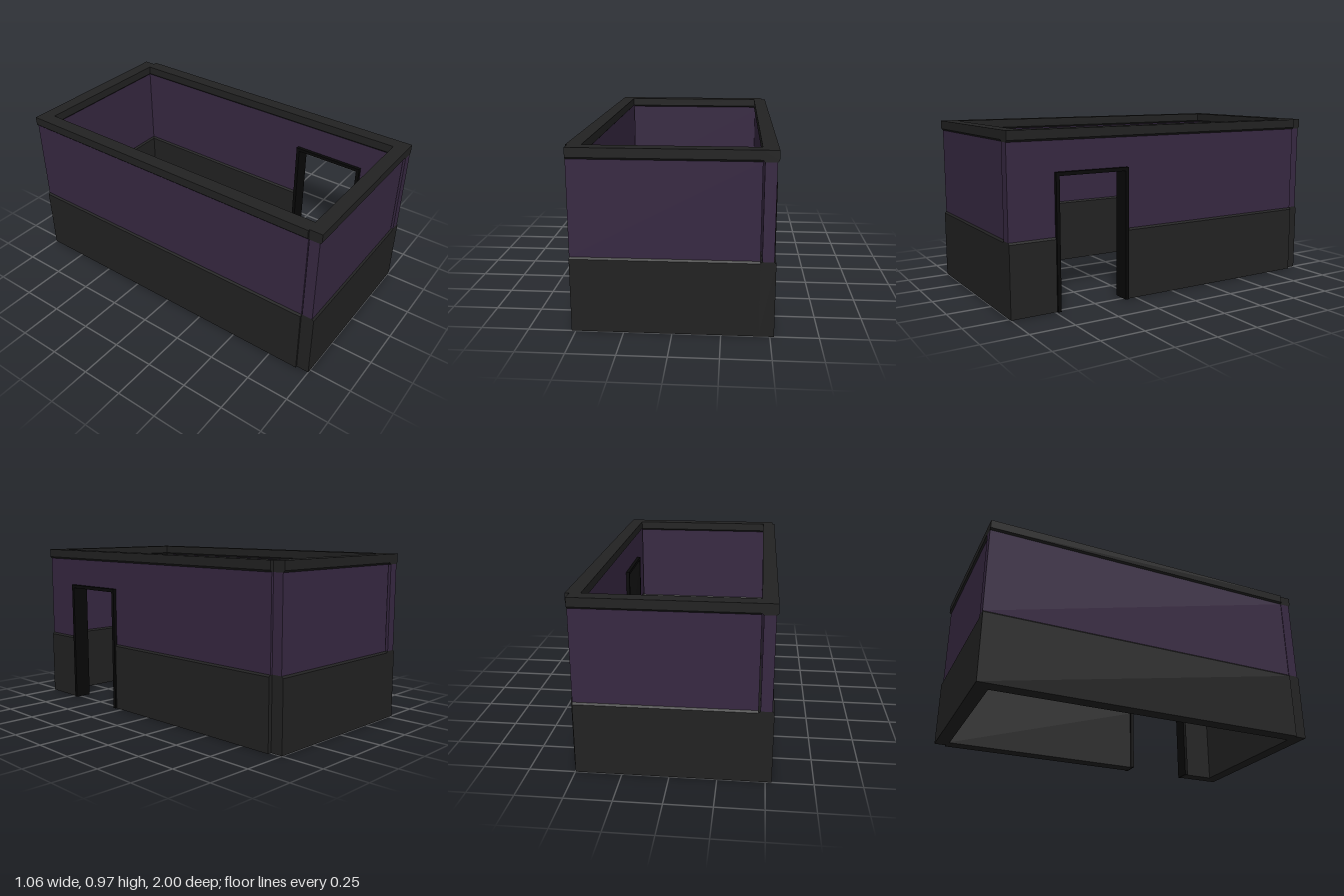
import * as THREE from 'three';

const dark = new THREE.MeshStandardMaterial({ color: 0x222222 });
const purple = new THREE.MeshStandardMaterial({ color: 0x372842 });
const black = new THREE.MeshStandardMaterial({ color: 0x080808 });

const HALF = 0.04, INSET = 0.01;          // half thickness of trim, step in to the panel
const BASE = 0.402, CAP = 0.907, TOP = 0.966;
const DOOR = { z0: 0.3, z1: 0.738, top: 0.744, jamb: 0.02, x0: 0.43, x1: 0.531 };

// Cross-section (across, y) extruded from a to b along z
function run(name, points, a, b, material) {
  const shape = new THREE.Shape(points.map(([u, y]) => new THREE.Vector2(u, y)));
  const geometry = new THREE.ExtrudeGeometry(shape, { depth: b - a, bevelEnabled: false });
  geometry.translate(0, 0, a);
  const mesh = new THREE.Mesh(geometry, material);
  mesh.name = name;
  return mesh;
}

const base = (a, b) => run('base', [
  [-HALF, 0], [HALF, 0], [HALF, BASE - INSET], [HALF - INSET, BASE],
  [INSET - HALF, BASE], [-HALF, BASE - INSET]], a, b, dark);

const panel = (a, b, y0 = BASE) => run('panel', [
  [INSET - HALF, y0], [HALF - INSET, y0], [HALF - INSET, CAP], [INSET - HALF, CAP]], a, b, purple);

const cap = (a, b) => run('cap', [
  [INSET - HALF, CAP], [HALF - INSET, CAP], [HALF, CAP + INSET],
  [HALF, TOP], [-HALF, TOP], [-HALF, CAP + INSET]], a, b, dark);

function wall(name, ...parts) {
  const group = new THREE.Group();
  group.name = name;
  group.add(...parts);
  return group;
}

const solidWall = (name, a, b) => wall(name, base(a, b), panel(a, b), cap(a, b));

function box(name, x0, x1, y0, y1, z0, z1) {
  const mesh = new THREE.Mesh(new THREE.BoxGeometry(x1 - x0, y1 - y0, z1 - z0), black);
  mesh.position.set((x0 + x1) / 2, (y0 + y1) / 2, (z0 + z1) / 2);
  mesh.name = name;
  return mesh;
}

export function createModel() {
  const model = new THREE.Group();
  model.name = 'roomWalls';

  // Side wall without openings
  const right = solidWall('rightWall', -1, 0.926);
  right.position.x = -0.493;

  // Front and back walls; turned so their length runs along x
  const front = solidWall('frontWall', -0.522, 0.442);
  front.rotation.y = Math.PI / 2;
  front.position.z = 0.96;
  const back = solidWall('backWall', -0.453, 0.498);
  back.rotation.y = Math.PI / 2;
  back.position.z = -0.96;

  // Side wall with the doorway cut out of base and panel
  const { z0, z1, top, jamb, x0, x1 } = DOOR;
  const cut0 = z0 + jamb / 2, cut1 = z1 - jamb / 2;
  const left = wall('leftWall',
    base(-0.93, cut0), base(cut1, 1),
    panel(-0.93, cut0), panel(cut1, 1), panel(cut0, cut1, top - jamb / 2),
    cap(-0.93, 1));
  left.position.x = 0.481;

  // Door frame
  const frame = wall('doorFrame',
    box('frontJamb', x0, x1, 0, top, z1 - jamb, z1),
    box('backJamb', x0, x1, 0, top, z0, z0 + jamb),
    box('doorHead', x0, x1, top - jamb, top, z0 + jamb, z1 - jamb));

  model.add(right, front, back, left, frame);
  return model;
}
